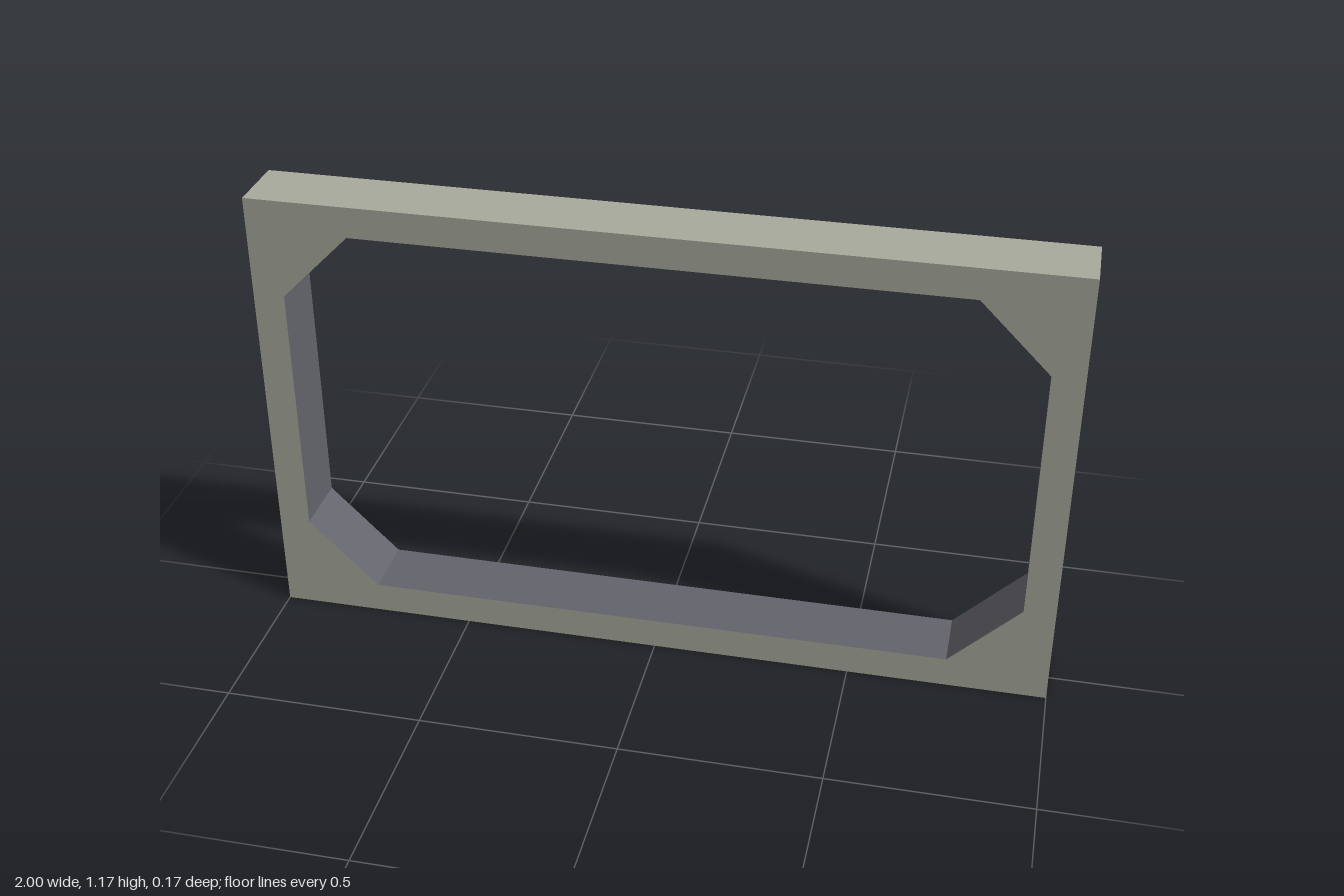
import * as THREE from 'three';

const WIDTH = 2, HEIGHT = 1.167, DEPTH = 0.167;
const BORDER = 0.079, CORNER = 0.175;

export function createModel() {
  const frameMaterial = new THREE.MeshStandardMaterial({ name: 'warm grey frame', color: 0xaaac9e });
  const liningMaterial = new THREE.MeshStandardMaterial({ name: 'dark slate lining', color: 0x64646d });

  const points = (list) => list.map(([x, y]) => new THREE.Vector2(x, y));

  // Rectangular outline with a chamfered opening
  const w = WIDTH / 2;
  const outline = points([[-w, 0], [w, 0], [w, HEIGHT], [-w, HEIGHT]]);
  const x = w - BORDER, bottom = BORDER, top = HEIGHT - BORDER, c = CORNER;
  const opening = points([
    [-x + c, bottom], [-x, bottom + c], [-x, top - c], [-x + c, top],
    [x - c, top], [x, top - c], [x, bottom + c], [x - c, bottom],
  ]);
  const shape = new THREE.Shape(outline);
  shape.holes.push(new THREE.Path(opening));

  const geometry = new THREE.ExtrudeGeometry(shape, { depth: DEPTH, bevelEnabled: false });
  geometry.translate(0, 0, -DEPTH / 2);

  // The opening's walls come last in the extrusion: six vertices per edge
  const total = geometry.attributes.position.count;
  const liningCount = opening.length * 6;
  geometry.clearGroups();
  geometry.addGroup(0, total - liningCount, 0);
  geometry.addGroup(total - liningCount, liningCount, 1);

  const frame = new THREE.Mesh(geometry, [frameMaterial, liningMaterial]);
  frame.name = 'frame';

  const model = new THREE.Group();
  model.name = 'rectangularFrame';
  model.add(frame);
  return model;
}
